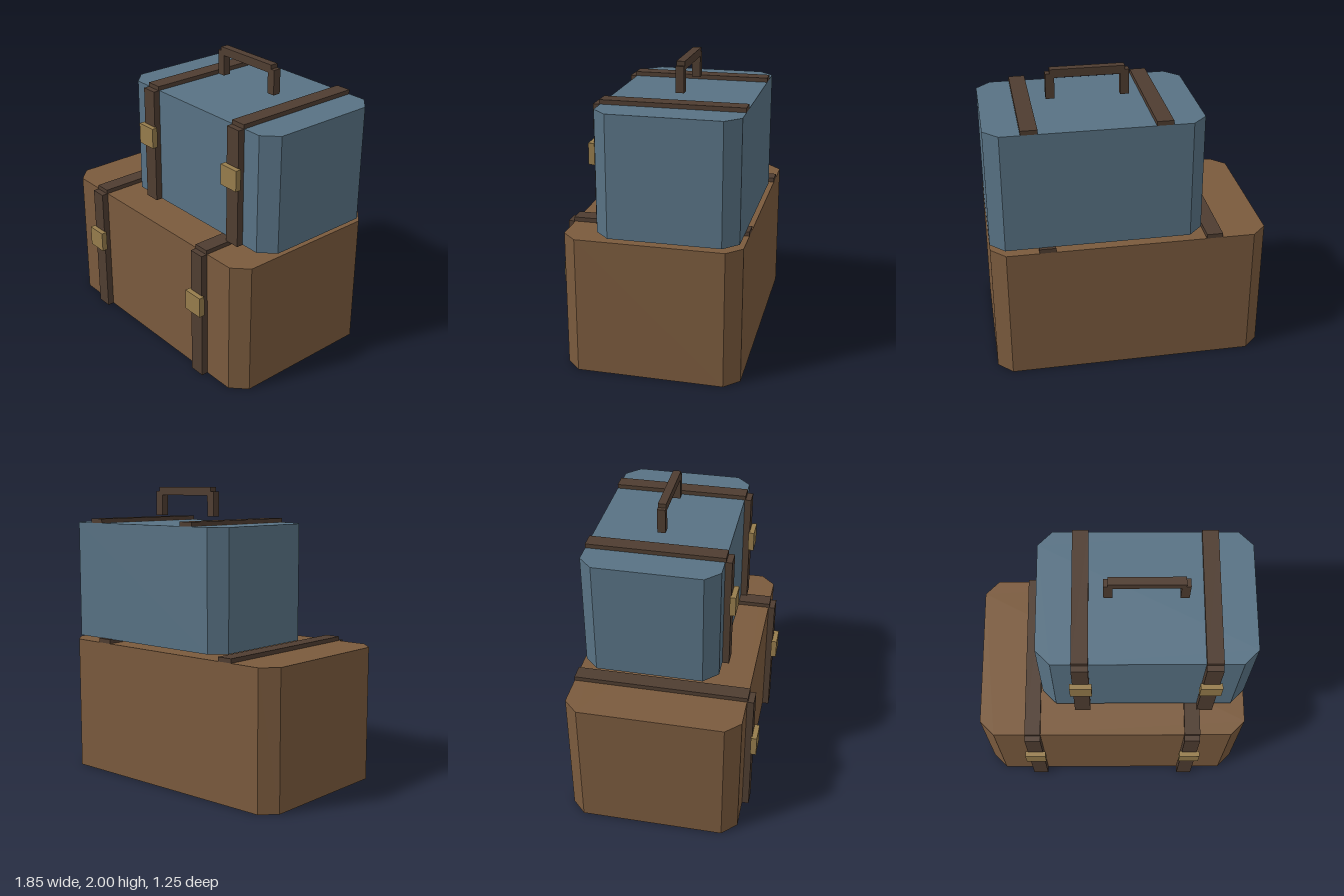
import * as THREE from 'three';

const mat = (color) => new THREE.MeshStandardMaterial({ color, flatShading: true });

// Box given by its extents on each axis
function box(name, [x0, x1], [y0, y1], [z0, z1], material) {
  const mesh = new THREE.Mesh(new THREE.BoxGeometry(x1 - x0, y1 - y0, z1 - z0), material);
  mesh.position.set((x0 + x1) / 2, (y0 + y1) / 2, (z0 + z1) / 2);
  mesh.name = name;
  return mesh;
}

// Upright case with its four vertical edges cut off
function caseBody(name, [x0, x1], [y0, y1], [z0, z1], cut, material) {
  const shape = new THREE.Shape([
    [x0 + cut, -z1], [x1 - cut, -z1], [x1, -z1 + cut], [x1, -z0 - cut],
    [x1 - cut, -z0], [x0 + cut, -z0], [x0, -z0 - cut], [x0, -z1 + cut],
  ].map(([x, y]) => new THREE.Vector2(x, y)));
  const geometry = new THREE.ExtrudeGeometry(shape, { depth: y1 - y0, bevelEnabled: false });
  geometry.rotateX(-Math.PI / 2).translate(0, y0, 0);
  const mesh = new THREE.Mesh(geometry, material);
  mesh.name = name;
  return mesh;
}

export function createModel() {
  const group = new THREE.Group();
  group.name = 'stackedLuggage';
  const leather = mat(0x4f3d31);
  const brass = mat(0x967c4c);

  const cases = [
    { name: 'lowerCase', color: 0x7a5a3d, x: [-0.925, 0.922], y: [0, 0.925], z: [-0.622, 0.545],
      cut: 0.098, straps: [-0.556, 0.554], buckleY: 0.56 },
    { name: 'upperCase', color: 0x587284, x: [-0.488, 0.922], y: [0.952, 1.755], z: [-0.598, 0.323],
      cut: 0.096, straps: [-0.207, 0.641], buckleY: 1.432 },
  ];

  for (const c of cases) {
    const luggage = new THREE.Group();
    luggage.name = c.name;
    luggage.add(caseBody(c.name + 'Body', c.x, c.y, c.z, c.cut, mat(c.color)));
    const [back, front] = c.z;
    const top = c.y[1];
    for (const x of c.straps) {
      const width = [x - 0.054, x + 0.054];
      // Strap down the front and across the lid, with a buckle
      luggage.add(box('frontStrap', width, c.y, [front, front + 0.046], leather));
      luggage.add(box('topStrap', width, [top, top + 0.029], [back, front + 0.006], leather));
      luggage.add(box('buckle', [x - 0.072, x + 0.072], [c.buckleY - 0.071, c.buckleY + 0.071],
        [front + 0.04, front + 0.08], brass));
    }
    group.add(luggage);
  }

  // Carrying handle: two posts and a grip
  const handle = new THREE.Group();
  handle.name = 'handle';
  const depth = [-0.163, -0.108];
  for (const x of [-0.028, 0.46]) {
    handle.add(box('handlePost', [x - 0.029, x + 0.029], [1.803, 1.972], depth, leather));
  }
  handle.add(box('handleGrip', [-0.028, 0.46], [1.944, 2], depth, leather));
  group.add(handle);

  return group;
}
